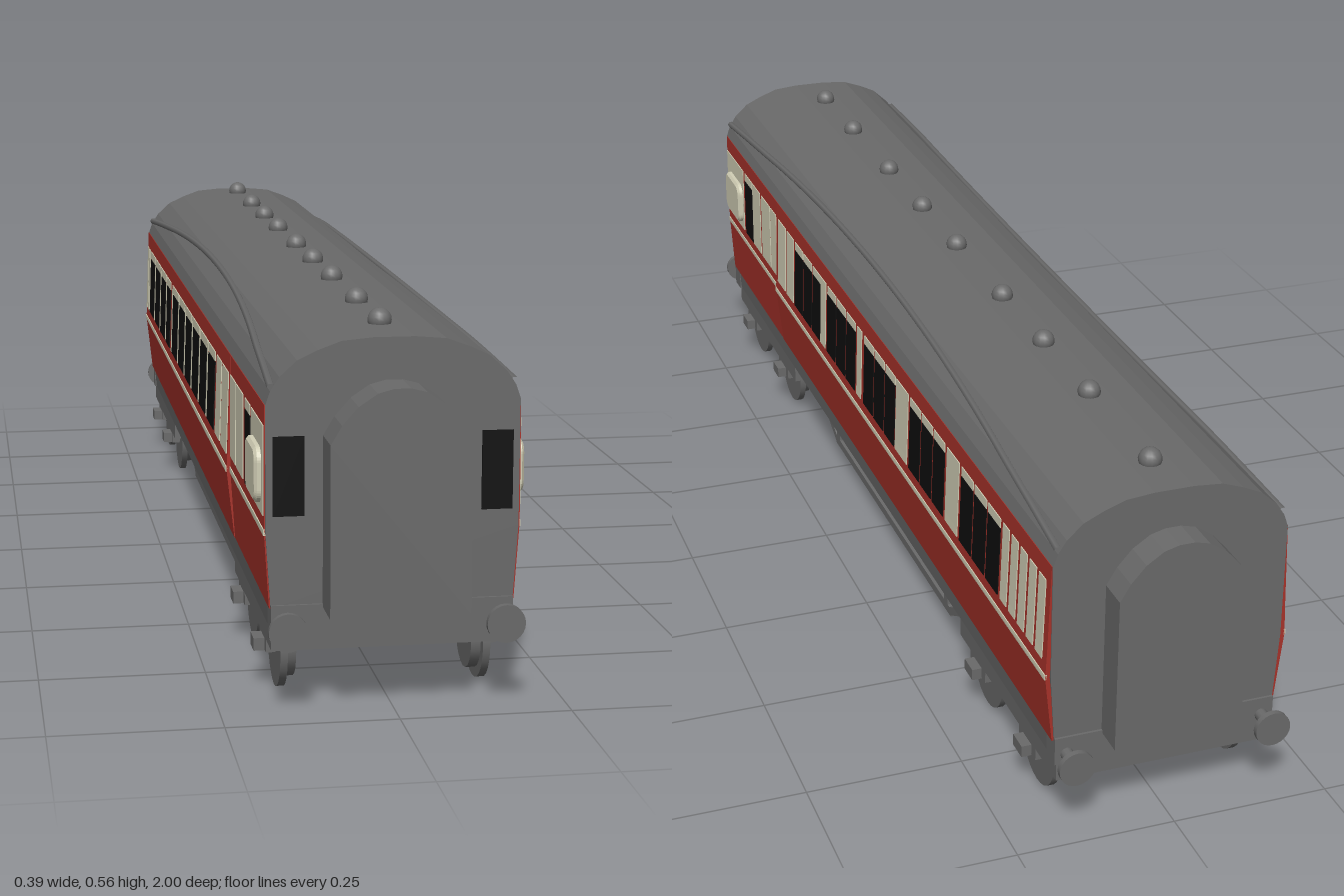
import * as THREE from 'three';

const mat = (name, color) => {
  const m = new THREE.MeshStandardMaterial({ color });
  m.name = name;
  return m;
};

// [y, half width] profiles, bottom to top
const CORE = [[0.112, 0.173], [0.15, 0.176], [0.26, 0.183], [0.445, 0.183], [0.465, 0.176], [0.485, 0.163],
  [0.508, 0.138], [0.522, 0.108], [0.534, 0.075], [0.538, 0.03]];
const MAIN_SIDE = [[0.15, 0.179], [0.26, 0.191], [0.3, 0.189], [0.445, 0.184]];
const GUARD_SIDE = [[0.15, 0.178], [0.26, 0.185], [0.3, 0.185], [0.445, 0.184]];
const FRONT = 0.933, BACK = -0.949, STEP = 0.535;

function widthAt(profile, y) {
  for (let i = 1; i < profile.length; i++) {
    const [ya, xa] = profile[i - 1], [yb, xb] = profile[i];
    if (y <= yb) return xa + (xb - xa) * (y - ya) / (yb - ya);
  }
  return profile[profile.length - 1][1];
}

function extrude(points, z0, z1) {
  const shape = new THREE.Shape(points.map(([x, y]) => new THREE.Vector2(x, y)));
  const geo = new THREE.ExtrudeGeometry(shape, { depth: z1 - z0, bevelEnabled: false });
  return geo.translate(0, 0, z0);
}

// Symmetrical outline from right-hand points listed bottom to top
const mirrored = (half) => [...half, ...half.slice().reverse().map(([x, y]) => [-x, y])];

export function createModel() {
  const model = new THREE.Group();
  model.name = 'railwayCarriage';
  const grey = mat('grey', 0x6a6a6a), red = mat('red', 0xa8322a);
  const cream = mat('cream', 0xd2cfb6), black = mat('black', 0x0e0e0e);

  const add = (name, geo, material) => {
    const mesh = new THREE.Mesh(geo, material);
    mesh.name = name;
    model.add(mesh);
    return mesh;
  };
  const box = (name, material, x0, x1, y0, y1, z0, z1) => add(name,
    new THREE.BoxGeometry(Math.abs(x1 - x0), y1 - y0, Math.abs(z1 - z0))
      .translate((x0 + x1) / 2, (y0 + y1) / 2, (z0 + z1) / 2), material);

  // Thin plate following the curve of one body side
  const plate = (name, material, s, y0, y1, z0, z1, raise = 0.0015, depth = 0.004) => {
    const profile = z0 >= STEP - 0.001 ? GUARD_SIDE : MAIN_SIDE;
    const ys = [y0, ...profile.map((p) => p[0]).filter((y) => y > y0 && y < y1), y1];
    const outer = ys.map((y) => [s * (widthAt(profile, y) + raise), y]);
    const inner = ys.slice().reverse().map((y) => [s * (widthAt(profile, y) + raise - depth), y]);
    add(name, extrude([...outer, ...inner], z0, z1), material);
  };

  // Body with roof, and end gangways
  add('bodyAndRoof', extrude(mirrored(CORE.map(([y, x]) => [x, y])), BACK, FRONT), grey);
  const hood = mirrored([[0.101, 0.15], [0.101, 0.4], [0.085, 0.427], [0.062, 0.453], [0.035, 0.471], [0.012, 0.477]]);
  add('frontGangway', extrude(hood, FRONT - 0.01, 1), grey);
  add('backGangway', extrude(hood, -1, BACK + 0.01), grey);

  // Roof ventilators
  for (const z of [0.817, 0.622, 0.387, 0.187, -0.005, -0.238, -0.43, -0.625, -0.86]) {
    add('roofVentilator', new THREE.SphereGeometry(0.018, 14, 10).translate(0, 0.543, z), grey);
  }

  // Panels as [z0, z1] pairs for the +x side
  const plusCream = [[0.663, 0.722], [0.588, 0.652], [0.54, 0.582], [0.465, 0.519], [0.406, 0.455],
    [0.187, 0.219], [-0.037, -0.011], [-0.299, -0.235], [-0.556, -0.497],
    ...[0, 1, 2, 3, 4].map((i) => [-0.781 - i * 0.0374, -0.754 - i * 0.0374])];
  const plusBlack = [];
  for (const z of [0.396, 0.176, -0.053, -0.31, -0.567]) {
    for (let i = 0; i < 3; i++) plusBlack.push([z - i * 0.061 - 0.054, z - i * 0.061]);
  }
  // Panels for the -x side
  const minusCream = [[-0.94, -0.915], [-0.904, -0.877], [0.37, 0.435], [0.448, 0.528], [0.542, 0.612], [0.622, 0.7]];
  const minusBlack = [];
  for (let i = 0; i < 10; i++) {
    const z = -0.863 + i * 0.1236;
    minusBlack.push([z, z + (i === 3 ? 0.075 : 0.098)]);
    if (i) minusCream.push([z - 0.019, z - 0.007]);
  }

  for (const s of [1, -1]) {
    // Red side skins with a step at the guard section
    plate('mainSide', red, s, 0.15, 0.445, BACK + 0.002, STEP, 0, 0.007);
    plate('guardSide', red, s, 0.15, 0.445, STEP, FRONT - 0.002, 0, 0.004);
    plate('waistLine', cream, s, 0.257, 0.266, BACK + 0.002, STEP);
    plate('waistLine', cream, s, 0.257, 0.266, STEP, FRONT - 0.002);

    for (const [a, b] of s > 0 ? plusCream : minusCream) plate('creamPanel', cream, s, 0.285, 0.415, a, b);
    for (const [a, b] of [...(s > 0 ? plusBlack : minusBlack), [0.727, 0.783]]) {
      plate('sideWindow', black, s, 0.285, 0.398, a, b);
      plate('windowHead', cream, s, 0.4, 0.415, a, b);
    }

    // Guard's lookout
    plate('lookoutPanel', cream, s, 0.285, 0.415, 0.797, 0.927);
    const r = 0.016, w = 0.05, h = 0.036;
    const shape = new THREE.Shape();
    shape.absarc(w - r, h - r, r, 0, Math.PI / 2);
    shape.absarc(r - w, h - r, r, Math.PI / 2, Math.PI);
    shape.absarc(r - w, r - h, r, Math.PI, Math.PI * 1.5);
    shape.absarc(w - r, r - h, r, Math.PI * 1.5, Math.PI * 2);
    const lookout = new THREE.ExtrudeGeometry(shape, {
      depth: 0.012, bevelSize: 0.005, bevelThickness: 0.004, bevelSegments: 1, curveSegments: 4,
    });
    add('guardLookout', lookout.rotateY(s * Math.PI / 2).translate(s * 0.18, 0.338, 0.857), cream);

    // Front end window
    box('endWindow', black, s * 0.128, s * 0.173, 0.285, 0.4, FRONT - 0.004, FRONT + 0.003);

    // Arched rain strip on the roof
    const pts = [];
    for (let i = 0; i <= 16; i++) {
      const t = i / 8 - 1, y = 0.47 + 0.038 * (1 - t * t);
      pts.push(new THREE.Vector3(s * (widthAt(CORE, y) + 0.002), y, -0.008 + t * 0.938));
    }
    add('rainStrip', new THREE.TubeGeometry(new THREE.CatmullRomCurve3(pts), 32, 0.006, 6), grey);

    // Truss: bottom rail, posts and sloping ends
    const x0 = s * 0.13, x1 = s * 0.144;
    box('trussRail', grey, x0, x1, 0.032, 0.047, -0.39, 0.29);
    for (const z of [0.275, -0.365]) box('trussPost', grey, x0, x1, 0.04, 0.12, z - 0.01, z + 0.01);
    for (const [za, zb] of [[0.285, 0.45], [-0.385, -0.535]]) {
      const dz = zb - za, dy = 0.078;
      const bar = add('trussSlope', new THREE.BoxGeometry(0.014, 0.014, Math.hypot(dz, dy)), grey);
      bar.position.set(s * 0.137, 0.04 + dy / 2, (za + zb) / 2);
      bar.rotation.x = -Math.atan2(dy, dz);
    }
    box('equipmentBox', grey, s * 0.048, s * 0.128, 0.05, 0.12, -0.23, 0.15);

    // Wheels with axle boxes
    for (const z of [0.818, 0.572, -0.606, -0.83]) {
      const tread = new THREE.CylinderGeometry(0.07, 0.07, 0.011, 28).rotateZ(Math.PI / 2);
      add('wheel', tread.translate(s * 0.15, 0.07, z), grey);
      const flange = new THREE.CylinderGeometry(0.055, 0.055, 0.016, 20).rotateZ(Math.PI / 2);
      add('wheelHub', flange.translate(s * 0.138, 0.07, z), grey);
      box('axleBox', grey, s * 0.15, s * 0.188, 0.058, 0.077, z - 0.018, z + 0.018);
      box('axleGuard', grey, s * 0.158, s * 0.172, 0.06, 0.09, z - 0.035, z + 0.035);
    }

    // Buffers
    for (const [end, face] of [[1, FRONT], [-1, BACK]]) {
      const stem = new THREE.CylinderGeometry(0.01, 0.01, 0.05, 12).rotateX(Math.PI / 2);
      add('bufferStem', stem.translate(s * 0.157, 0.127, face + end * 0.02), grey);
      const head = new THREE.CylinderGeometry(0.028, 0.028, 0.009, 24).rotateX(Math.PI / 2);
      add('bufferHead', head.translate(s * 0.157, 0.127, face + end * 0.043), grey);
    }
  }

  // Truss cross members, bogie frames and buffer beams
  for (const z of [0.28, -0.38]) box('trussCrossbar', grey, -0.137, 0.137, 0.032, 0.048, z - 0.01, z + 0.01);
  for (const [a, b] of [[0.48, 0.91], [-0.95, -0.52]]) box('bogieFrame', grey, -0.172, 0.172, 0.08, 0.118, a, b);
  for (const [a, b] of [[0.9, FRONT + 0.004], [BACK - 0.004, -0.92]]) {
    box('bufferBeam', grey, -0.176, 0.176, 0.11, 0.155, a, b);
  }
  return model;
}
